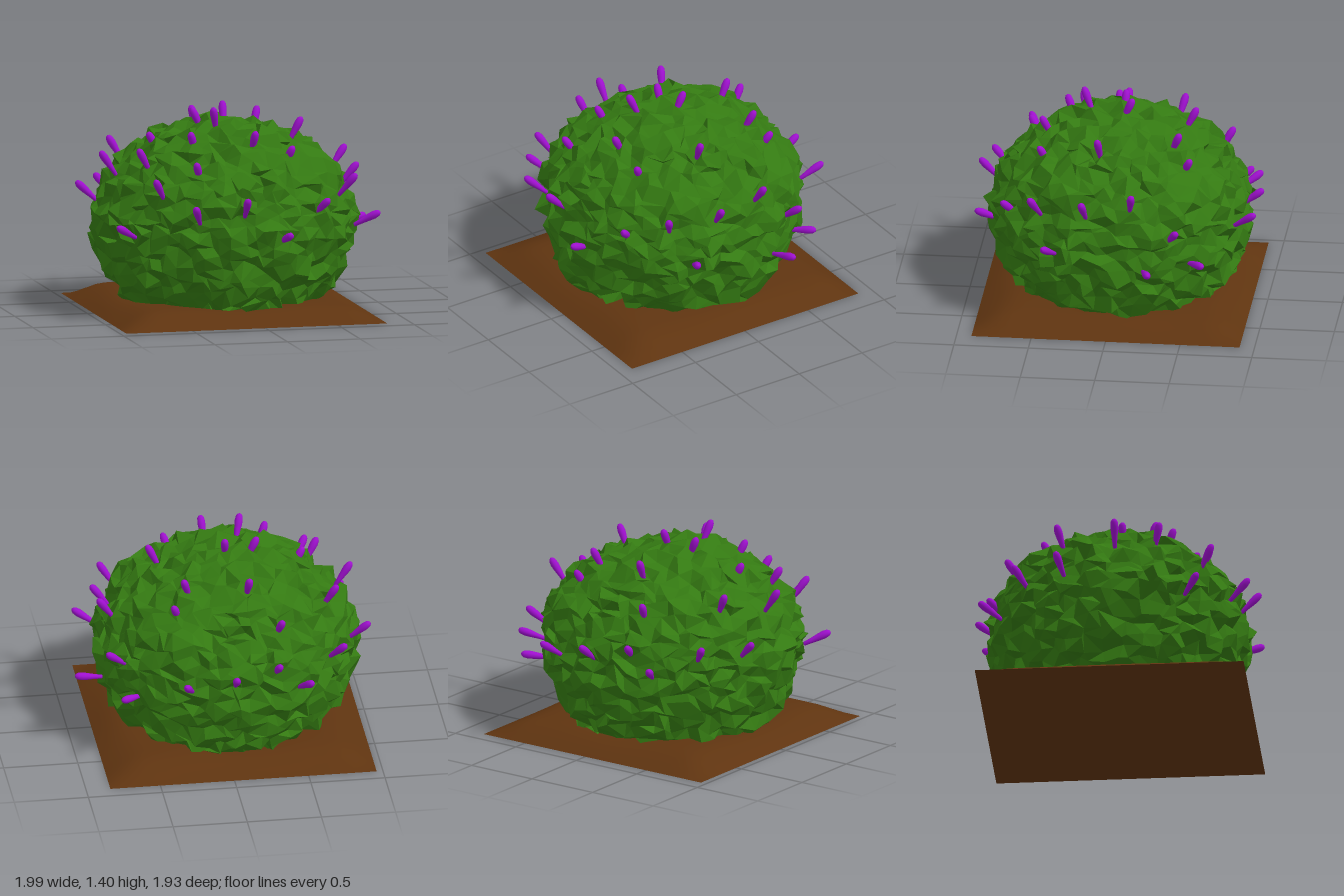
import * as THREE from 'three';

const CX = -0.06; // centre of the bush and soil patch

// repeatable noise in -0.5..0.5 tied to a position, so shared corners stay joined
function jitter(v, seed) {
  const k = Math.round(v.x * 1000) * 12.9898 + Math.round(v.y * 1000) * 78.233 + Math.round(v.z * 1000) * 37.719;
  const s = Math.sin(k + seed * 91.7) * 43758.5453;
  return s - Math.floor(s) - 0.5;
}

// tip of each flower bud
const BUD_TIPS = [
  // back
  [-0.01, 0.79, -0.97], [0.33, 0.75, -0.95], [-0.53, 0.7, -0.91], [-0.32, 0.82, -0.87],
  [-0.35, 1.09, -0.74], [-0.79, 0.84, -0.66], [0.72, 0.52, -0.64], [0.8, 0.79, -0.47],
  [0.36, 1.14, -0.52], [-0.16, 1.3, -0.51], [0.28, 1.29, -0.44],
  // sides
  [0.99, 0.55, -0.3], [0.82, 1.05, -0.17], [0.82, 0.98, 0.17], [0.91, 0.68, 0.42],
  [0.72, 0.96, 0.53], [-0.99, 0.84, -0.36], [-0.77, 1.14, -0.37], [-0.92, 1.1, 0.03],
  // crown
  [-0.28, 1.36, -0.02], [-0.05, 1.39, -0.09], [-0.6, 1.22, 0.06], [-0.2, 1.4, 0.26],
  [0.45, 1.29, 0.1], [-0.73, 1.15, 0.32], [-0.39, 1.26, 0.39], [0.03, 1.27, 0.52], [0.29, 1.16, 0.51],
  // front
  [0.48, 0.83, 0.74], [0.17, 0.63, 0.95], [-0.13, 0.88, 0.95], [-0.48, 0.83, 0.9],
  [-0.94, 0.67, 0.59], [-0.7, 0.99, 0.67], [-0.41, 1.09, 0.64],
];

// crumpled, flat-faced dome of leaves, cut off at the soil
function makeFoliage() {
  const geo = new THREE.IcosahedronGeometry(1, 11);
  const pos = geo.attributes.position;
  const v = new THREE.Vector3();
  for (let i = 0; i < pos.count; i++) {
    v.fromBufferAttribute(pos, i);
    const n = [1, 2, 3, 4].map((s) => jitter(v, s));
    const swell = 1 + 0.06 * n[3] + 0.015 * Math.sin(5 * v.x + 3 * v.y) * Math.cos(4 * v.z);
    const x = CX + 0.865 * v.x * swell + 0.08 * n[0];
    const y = 0.62 + (v.y > 0 ? 0.66 : 0.8) * v.y * swell + 0.075 * n[1];
    const z = 0.865 * v.z * swell + 0.08 * n[2];
    pos.setXYZ(i, x, Math.max(y, 0.06), z);
  }
  geo.computeVertexNormals();
  return new THREE.Mesh(geo, new THREE.MeshStandardMaterial({ color: 0x347a12, flatShading: true }));
}

// square patch of earth that swells up from its straight edges
function makeSoil() {
  const group = new THREE.Group();
  const mat = new THREE.MeshStandardMaterial({ color: 0x5f3410 });
  const geo = new THREE.PlaneGeometry(1.795, 1.8, 28, 28).rotateX(-Math.PI / 2);
  const pos = geo.attributes.position;
  const rise = (d) => Math.sin(Math.min(Math.max(d, 0) / 0.26, 1) * Math.PI / 2);
  for (let i = 0; i < pos.count; i++) {
    const x = pos.getX(i), z = pos.getZ(i);
    const h = rise(0.8975 - Math.abs(x)) * rise(0.9 - Math.abs(z));
    pos.setY(i, h * (0.096 + 0.01 * Math.sin(7 * x + 2) * Math.cos(6 * z)));
  }
  geo.computeVertexNormals();
  const top = new THREE.Mesh(geo, mat);
  top.name = 'soilTop';
  const base = new THREE.Mesh(new THREE.PlaneGeometry(1.795, 1.8).rotateX(Math.PI / 2), mat);
  base.name = 'soilUnderside';
  group.add(top, base);
  group.position.x = CX;
  return group;
}

// slim club-shaped buds, thicker towards a rounded tip
function makeBuds() {
  const group = new THREE.Group();
  const mat = new THREE.MeshStandardMaterial({ color: 0xa010d0 });
  const profile = [[0, 0], [0.013, 0], [0.018, 0.06], [0.025, 0.12], [0.027, 0.15], [0.023, 0.18], [0.013, 0.195], [0, 0.2]];
  const geo = new THREE.LatheGeometry(profile.map(([r, y]) => new THREE.Vector2(r, y)), 10);
  const up = new THREE.Vector3(0, 1, 0);
  for (const [x, y, z] of BUD_TIPS) {
    // buds lean outwards, and stand more upright the higher they grow
    const out = Math.hypot(x - CX, z);
    const dir = new THREE.Vector3(x - CX, out * 2.3 * (y - 0.45), z).normalize();
    const bud = new THREE.Mesh(geo, mat);
    bud.name = 'flowerBud';
    bud.quaternion.setFromUnitVectors(up, dir);
    bud.position.set(x, y, z).addScaledVector(dir, -0.2);
    group.add(bud);
  }
  return group;
}

export function createModel() {
  const model = new THREE.Group();
  const parts = { foliage: makeFoliage(), soil: makeSoil(), flowerBuds: makeBuds() };
  for (const [name, part] of Object.entries(parts)) {
    part.name = name;
    model.add(part);
  }
  model.name = 'floweringBush';
  return model;
}
